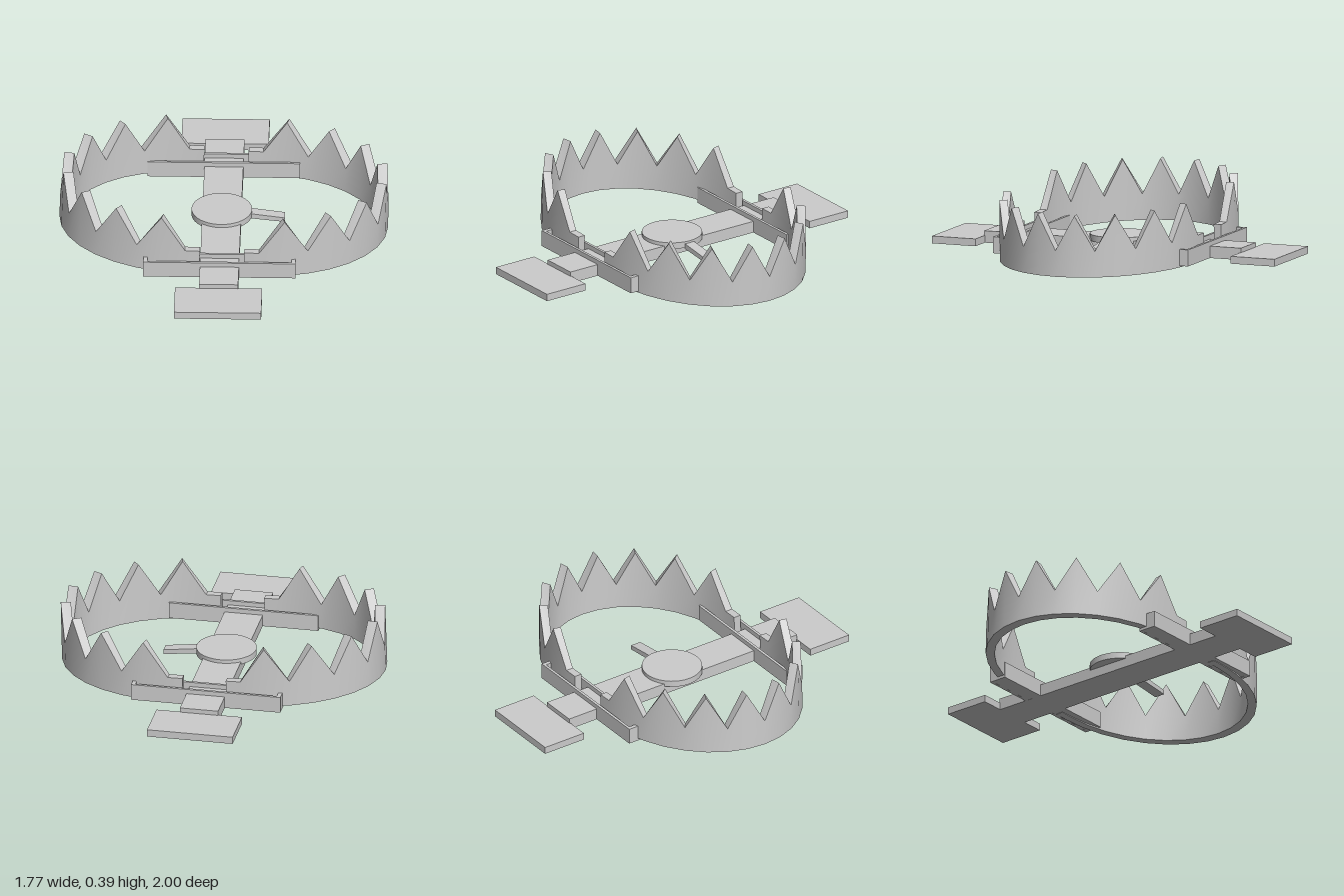
import * as THREE from 'three';
import { toCreasedNormals } from 'three/addons/utils/BufferGeometryUtils.js';

const material = new THREE.MeshStandardMaterial({ color: 0xcccccc });

function add(parent, name, geometry, x = 0, y = 0, z = 0) {
  const mesh = new THREE.Mesh(geometry, material);
  mesh.name = name;
  mesh.position.set(x, y, z);
  parent.add(mesh);
  return mesh;
}

// Half-elliptical toothed band opening toward -x, swept from rectangular sections
function jawGeometry() {
  const teeth = 8, steps = teeth * 2, root = 0.143, tip = 0.337;
  const sections = [];
  const section = (xo, zo, xi, zi, h) => sections.push([
    [xo, 0, zo], [xo, h, zo], [xi, h, zi], [xi, 0, zi],
  ]);
  section(0.12, 0.545, 0.12, 0.503, root);
  for (let i = 0; i <= steps; i++) {
    const a = Math.PI / 2 - (i / steps) * Math.PI;
    const c = Math.cos(a), s = Math.sin(a);
    section(0.2 + 0.685 * c, 0.545 * s, 0.2 + 0.63 * c, 0.503 * s, i % 2 ? tip : root);
  }
  section(0.12, -0.545, 0.12, -0.503, root);

  const positions = [];
  const quad = (a, b, c, d) => positions.push(...a, ...b, ...c, ...a, ...c, ...d);
  for (let i = 0; i < sections.length - 1; i++) {
    const p = sections[i], q = sections[i + 1];
    for (let k = 0; k < 4; k++) {
      const n = (k + 1) % 4;
      quad(p[k], q[k], q[n], p[n]);
    }
  }
  const first = sections[0], last = sections[sections.length - 1];
  quad(first[0], first[1], first[2], first[3]);
  quad(last[3], last[2], last[1], last[0]);

  const geometry = new THREE.BufferGeometry();
  geometry.setAttribute('position', new THREE.Float32BufferAttribute(positions, 3));
  return toCreasedNormals(geometry, 0.5);
}

function rectangle(Type, w, h) {
  return new Type([
    new THREE.Vector2(-w / 2, -h / 2), new THREE.Vector2(w / 2, -h / 2),
    new THREE.Vector2(w / 2, h / 2), new THREE.Vector2(-w / 2, h / 2),
  ]);
}

export function createModel() {
  const model = new THREE.Group();
  model.name = 'jawTrap';

  // Long base bar
  add(model, 'baseBar', new THREE.BoxGeometry(0.21, 0.065, 1.5), -0.01, 0.0525, 0);

  // Hollow rim around each hinge tray
  const rim = rectangle(THREE.Shape, 0.82, 0.105);
  rim.holes.push(rectangle(THREE.Path, 0.775, 0.075));
  const rimGeometry = new THREE.ExtrudeGeometry(rim, { depth: 0.09, bevelEnabled: false });
  rimGeometry.rotateX(-Math.PI / 2);

  // Foot plates and hinge trays at both ends
  for (const side of [1, -1]) {
    const end = side > 0 ? 'front' : 'back';
    add(model, end + 'FootPlate', new THREE.BoxGeometry(0.47, 0.04, 0.255), -0.01, 0.04, side * 0.8725);
    add(model, end + 'HingeRim', rimGeometry, -0.01, 0.02, side * 0.517);
    add(model, end + 'HingeFloor', new THREE.BoxGeometry(0.79, 0.03, 0.09), -0.01, 0.0355, side * 0.517);
  }

  // Round trigger pan
  add(model, 'triggerPan', new THREE.CylinderGeometry(0.163, 0.163, 0.035, 48), -0.01, 0.0875, 0);

  // Trigger lever, sloping down to its tip
  const lever = new THREE.Shape();
  lever.moveTo(0.1, 0.07);
  lever.lineTo(0.33, 0.045);
  lever.lineTo(0.33, 0.07);
  lever.lineTo(0.1, 0.1);
  lever.closePath();
  add(model, 'triggerLever', new THREE.ExtrudeGeometry(lever, { depth: 0.06, bevelEnabled: false }), 0, 0, -0.03);

  // Toothed jaws, each tilted slightly about its hinge line
  const jaw = jawGeometry();
  jaw.translate(-0.12, 0, 0);
  const leftJaw = add(model, 'leftJaw', jaw, 0.12, 0.018, 0);
  leftJaw.rotation.z = -0.0225;
  const rightSide = new THREE.Group();
  rightSide.name = 'rightJawMount';
  rightSide.rotation.y = Math.PI;
  model.add(rightSide);
  const rightJaw = add(rightSide, 'rightJaw', jaw, 0.12, 0.025, 0);
  rightJaw.rotation.z = 0.033;

  return model;
}
